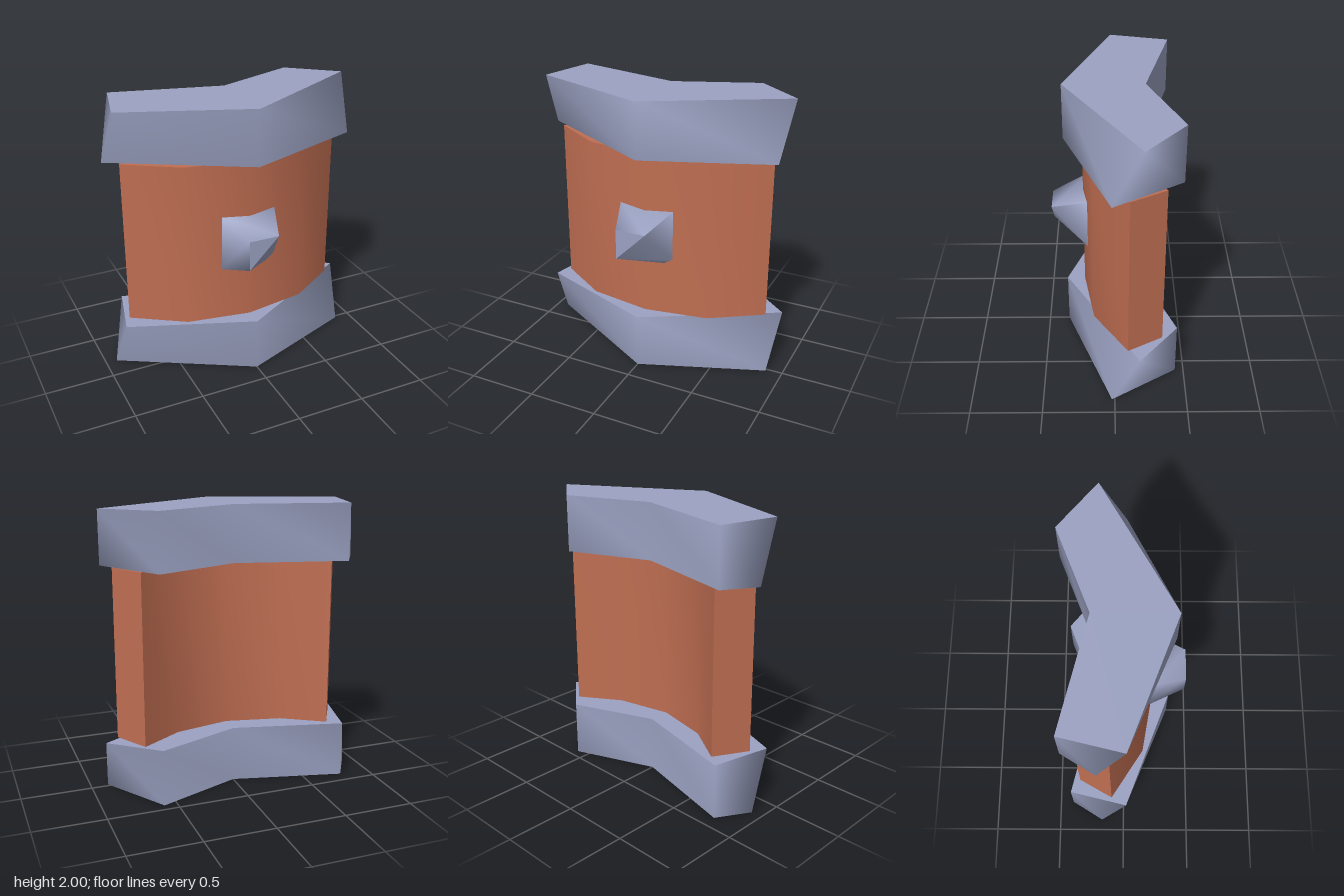
import * as THREE from 'three';
import { toCreasedNormals } from 'three/addons/utils/BufferGeometryUtils.js';

// Closed solid between two [x, z] rings of equal length; smooth sides, flat caps.
// Rings run clockwise seen from above, and caps fan out from corner 1.
function loft(bottom, top, y0, y1) {
  const n = top.length;
  const pos = [];
  const index = [];
  for (let copy = 0; copy < 2; copy++) {
    top.forEach(([x, z]) => pos.push(x, y1, z));
    bottom.forEach(([x, z]) => pos.push(x, y0, z));
  }
  for (let i = 0; i < n; i++) {
    const j = (i + 1) % n;
    index.push(i, j, n + i, j, n + j, n + i);
  }
  for (let k = 1; k < n - 1; k++) {
    const a = (1 + k) % n;
    const b = (2 + k) % n;
    index.push(2 * n + 1, 2 * n + b, 2 * n + a);
    index.push(3 * n + 1, 3 * n + a, 3 * n + b);
  }
  const geo = new THREE.BufferGeometry();
  geo.setAttribute('position', new THREE.Float32BufferAttribute(pos, 3));
  geo.setIndex(index);
  geo.computeVertexNormals();
  return geo;
}

export function createModel() {
  const group = new THREE.Group();
  const metal = new THREE.MeshStandardMaterial({ color: 0x9ba2c2 });
  metal.name = 'blueGreyMetal';
  const clay = new THREE.MeshStandardMaterial({ color: 0xc06e52 });
  clay.name = 'terracotta';

  const add = (name, geo, material) => {
    const mesh = new THREE.Mesh(geo, material);
    mesh.name = name;
    group.add(mesh);
    return mesh;
  };

  // Bent rails with skewed ends, above and below the panel
  const railTop = [[-0.78, -0.4], [0, -0.21], [0.59, -0.44], [0.92, -0.17], [0, 0.35], [-0.88, 0.02]];
  const railBottom = [[-0.78, -0.4], [0, -0.21], [0.59, -0.44], [0.88, 0.02], [0, 0.35], [-0.92, -0.17]];
  add('lowerRail', loft(railBottom, railTop, 0, 0.4), metal);
  add('upperRail', loft(railBottom, railTop, 1.6, 2), metal);

  // Curved panel: arc-shaped plan pulled upward
  const mirrorArc = ([end, mid, centre]) =>
    [end, mid, centre, [-mid[0], mid[1]], [-end[0], end[1]]];
  const outer = mirrorArc([[0.82, -0.09], [0.455, 0.145], [0, 0.22]]);
  const inner = mirrorArc([[-0.685, -0.33], [-0.395, -0.146], [0, -0.06]]);
  const plan = new THREE.Shape([...outer, ...inner].map(([x, z]) => new THREE.Vector2(x, -z)));
  const panel = new THREE.ExtrudeGeometry(plan, { depth: 1.2, bevelEnabled: false });
  panel.rotateX(-Math.PI / 2).translate(0, 0.4, 0);
  add('curvedPanel', toCreasedNormals(panel, 0.7), clay);

  // Tapered stud with one bevelled-off corner
  const studBase = [[-0.205, -0.205], [0.205, -0.205], [0.205, 0.17], [0.16, 0.205], [-0.205, 0.205]];
  const studTip = [[-0.11, -0.11], [0.11, -0.11], [0.11, -0.11], [-0.11, 0.11], [-0.11, 0.11]];
  const stud = loft(studBase, studTip, 0.18, 0.44);
  stud.rotateX(Math.PI / 2).translate(0, 1, 0);
  add('frontStud', stud, metal);

  return group;
}
